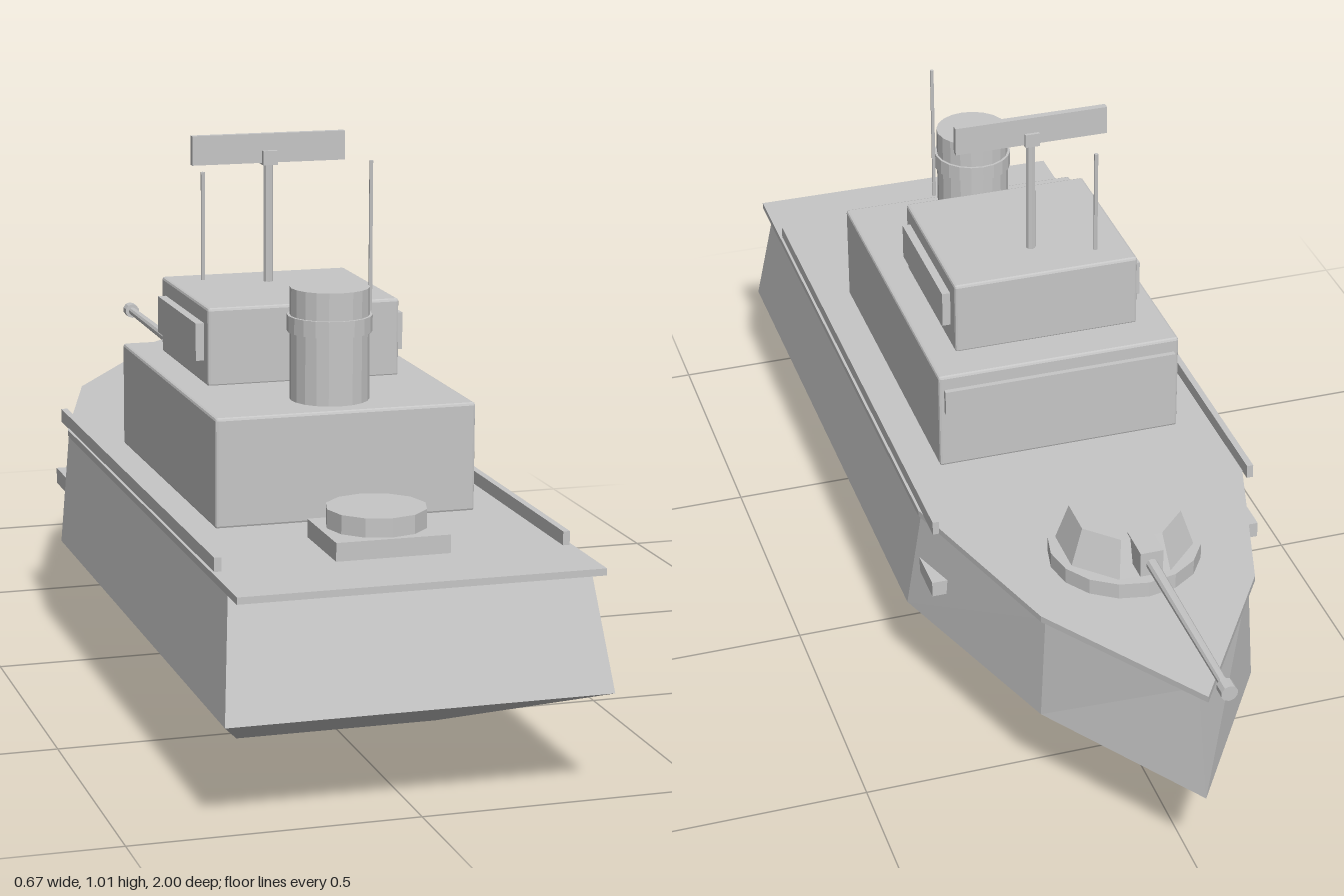
import * as THREE from 'three';
import { RoundedBoxGeometry } from 'three/addons/geometries/RoundedBoxGeometry.js';

const grey = new THREE.MeshStandardMaterial({ color: 0xc6c6c6 });
grey.name = 'hull grey';
grey.flatShading = true;

// Mirrors a starboard outline [x, z] (stern, shoulder, bow quarter, tip) to a closed ring
function ring(half, y) {
  const left = half.slice(0, -1).reverse().map(([x, z]) => [-x, z]);
  return [...half, ...left].map(([x, z]) => new THREE.Vector3(x, y, z));
}

// Skins a stack of rings and caps both ends
function loft(rings) {
  const tris = [];
  const n = rings[0].length;
  for (let r = 0; r < rings.length - 1; r++) {
    const a = rings[r], b = rings[r + 1];
    for (let i = 0; i < n; i++) {
      const j = (i + 1) % n;
      tris.push(a[i], a[j], b[j], a[i], b[j], b[i]);
    }
  }
  const low = rings[0], top = rings[rings.length - 1];
  for (let i = 1; i < n - 1; i++) {
    tris.push(low[0], low[i + 1], low[i], top[0], top[i], top[i + 1]);
  }
  const g = new THREE.BufferGeometry().setFromPoints(tris);
  g.computeVertexNormals();
  return g;
}

export function createModel() {
  const ship = new THREE.Group();
  ship.name = 'patrolBoat';

  function add(name, geometry, x = 0, y = 0, z = 0, parent = ship) {
    const mesh = new THREE.Mesh(geometry, grey);
    mesh.name = name;
    mesh.position.set(x, y, z);
    parent.add(mesh);
    return mesh;
  }
  // Box given by its width and its y and z ranges
  const box = (name, x, w, y0, y1, z0, z1, bevel = 0, parent = ship) => {
    const s = [w, y1 - y0, z1 - z0];
    const g = bevel ? new RoundedBoxGeometry(...s, 1, bevel) : new THREE.BoxGeometry(...s);
    return add(name, g, x, (y0 + y1) / 2, (z0 + z1) / 2, parent);
  };
  // Upright cylinder given by its y range
  const drum = (name, rTop, rLow, y0, y1, sides, x, z, parent = ship) =>
    add(name, new THREE.CylinderGeometry(rTop, rLow, y1 - y0, sides), x, (y0 + y1) / 2, z, parent);

  // Hull: flat bottom, wide chine, sides leaning in to the deck
  add('hull', loft([
    ring([[0.185, 0.53], [0.185, -0.14], [0.115, -0.37], [0, -0.53]], 0),
    ring([[0.335, 1], [0.335, -0.2], [0.2, -0.6], [0, -0.91]], 0.182),
    ring([[0.312, 0.935], [0.312, -0.225], [0.19, -0.595], [0, -0.86]], 0.386),
  ]));

  // Deck plate overhanging stern and bow
  const deckOutline = [[0.315, 1], [0.315, -0.22], [0.2, -0.6], [0, -0.905]];
  add('deck', loft([ring(deckOutline, 0.386), ring(deckOutline, 0.398)]));

  // Rails and anchor fittings along both sides
  for (const s of [-1, 1]) {
    box('sideRail', s * 0.304, 0.012, 0.396, 0.422, -0.3, 0.845);
    box('anchorFitting', s * 0.3, 0.035, 0.27, 0.3, -0.315, -0.23);
  }

  // Superstructure
  box('deckhouse', 0, 0.47, 0.396, 0.591, -0.09, 0.58, 0.005);
  box('frontVisor', 0, 0.45, 0.515, 0.563, -0.1, -0.085);
  box('bridge', 0, 0.357, 0.588, 0.731, -0.01, 0.322, 0.005);
  for (const s of [-1, 1]) {
    box('bridgeSidePanel', s * 0.184, 0.02, 0.632, 0.7, 0.022, 0.295);
  }

  // Funnel with band
  drum('funnel', 0.07, 0.07, 0.588, 0.79, 20, 0, 0.475);
  drum('funnelBand', 0.075, 0.075, 0.712, 0.741, 20, 0, 0.475);

  // Mast with search radar
  const mast = new THREE.Group();
  mast.name = 'radarMast';
  ship.add(mast);
  drum('mastPole', 0.009, 0.009, 0.73, 0.96, 8, 0, 0.09, mast);
  box('radarPivot', 0, 0.028, 0.95, 0.976, 0.076, 0.106, 0, mast);
  box('radarBar', 0, 0.292, 0.953, 1.007, 0.082, 0.095, 0, mast);

  // Whip antennas
  drum('shortAntenna', 0.004, 0.004, 0.73, 0.933, 6, -0.113, 0.045);
  drum('tallAntenna', 0.0035, 0.0035, 0.72, 0.99, 6, 0.112, 0.358);

  // Aft platform
  box('aftPlatform', 0, 0.2, 0.396, 0.43, 0.675, 0.84);
  drum('aftMount', 0.087, 0.087, 0.43, 0.463, 12, 0, 0.745);

  // Forward turret and gun
  const turret = new THREE.Group();
  turret.name = 'forwardTurret';
  ship.add(turret);
  drum('turretRing', 0.138, 0.138, 0.396, 0.428, 16, 0, -0.464, turret);
  drum('gunhouse', 0.1, 0.125, 0.425, 0.497, 8, 0, -0.464, turret).rotation.y = Math.PI / 8;
  box('mantlet', 0, 0.042, 0.452, 0.5, -0.612, -0.54, 0, turret);
  const barrel = drum('gunBarrel', 0.008, 0.011, 0, 0.41, 10, 0, 0, turret);
  barrel.rotation.x = -Math.PI / 2;
  barrel.position.set(0, 0.475, -0.785);
  const muzzle = drum('muzzle', 0.015, 0.015, 0, 0.025, 10, 0, 0, turret);
  muzzle.rotation.x = -Math.PI / 2;
  muzzle.position.set(0, 0.475, -0.9875);

  return ship;
}
